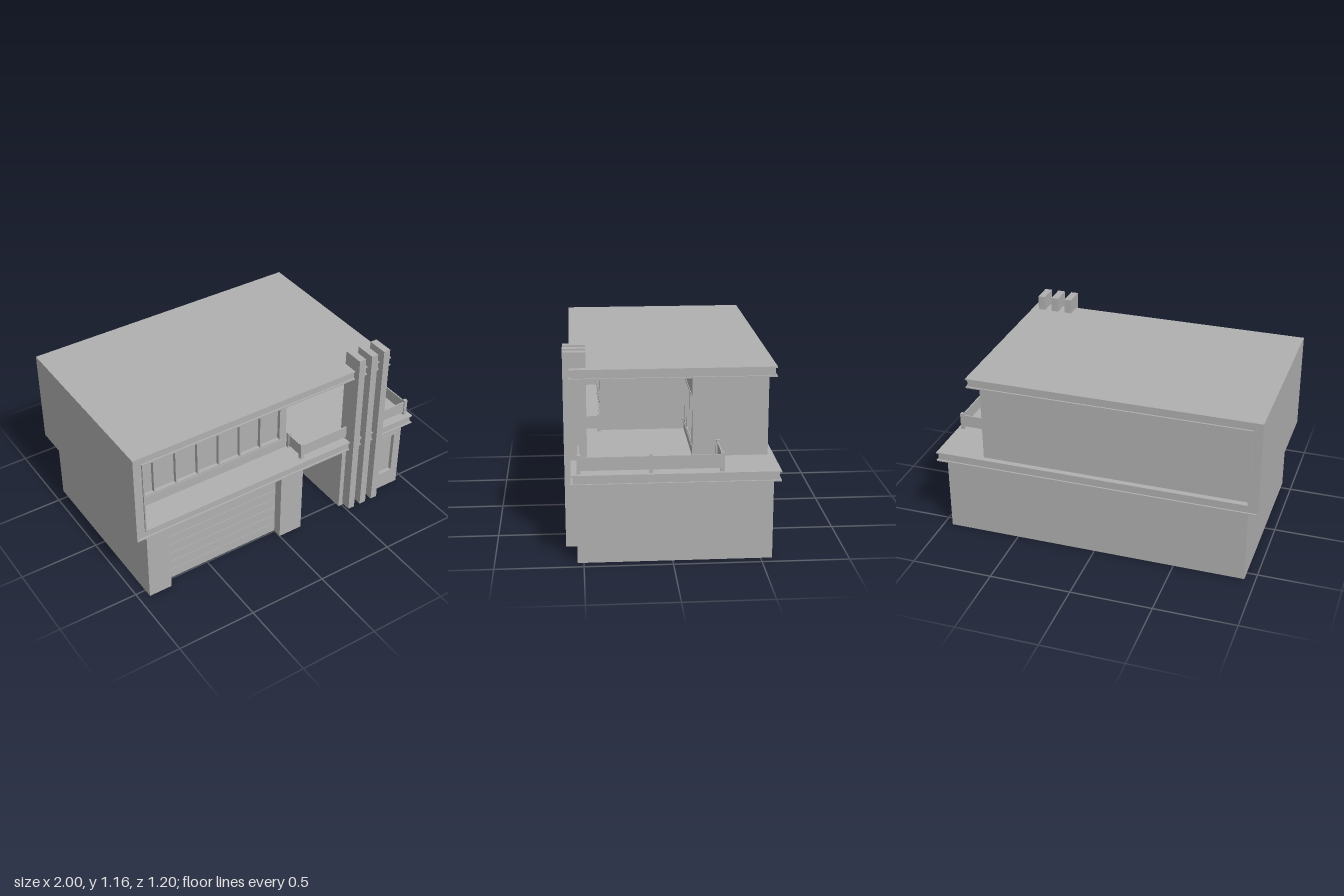
import * as THREE from 'three';

const concrete = new THREE.MeshStandardMaterial({ color: 0xb0b0b0 });
concrete.name = 'light grey';

export function createModel() {
  const house = new THREE.Group();
  house.name = 'house';

  const group = (name) => {
    const g = new THREE.Group();
    g.name = name;
    house.add(g);
    return g;
  };
  // Box given by its limits on each axis
  const box = (parent, name, x0, x1, y0, y1, z0, z1) => {
    const m = new THREE.Mesh(new THREE.BoxGeometry(x1 - x0, y1 - y0, z1 - z0), concrete);
    m.position.set((x0 + x1) / 2, (y0 + y1) / 2, (z0 + z1) / 2);
    m.name = name;
    parent.add(m);
  };
  // Storey extruded upward from a floor plan of [x, z] corners
  const storey = (name, plan, y0, y1) => {
    const shape = new THREE.Shape(plan.map(([x, z]) => new THREE.Vector2(x, -z)));
    const geo = new THREE.ExtrudeGeometry(shape, { depth: y1 - y0, bevelEnabled: false });
    geo.rotateX(-Math.PI / 2).translate(0, y0, 0);
    const m = new THREE.Mesh(geo, concrete);
    m.name = name;
    house.add(m);
  };
  // Wall skin facing +z with one rectangular opening
  const skin = (name, [x0, x1, y0, y1], [a0, a1, b0, b1], z0, z1) => {
    const rect = (P, l, r, b, t) => {
      const p = new P();
      p.moveTo(l, b); p.lineTo(r, b); p.lineTo(r, t); p.lineTo(l, t); p.closePath();
      return p;
    };
    const shape = rect(THREE.Shape, x0, x1, y0, y1);
    shape.holes.push(rect(THREE.Path, a0, a1, b0, b1));
    const geo = new THREE.ExtrudeGeometry(shape, { depth: z1 - z0, bevelEnabled: false });
    geo.translate(0, 0, z0);
    const m = new THREE.Mesh(geo, concrete);
    m.name = name;
    house.add(m);
  };
  // Window or door frame: four rails and any upright bars
  const frame = (name, x0, x1, y0, y1, z0, z1, w, bars = []) => {
    const g = group(name);
    box(g, 'bottomRail', x0, x1, y0, y0 + w, z0, z1);
    box(g, 'topRail', x0, x1, y1 - w, y1, z0, z1);
    for (const x of [x0 + w / 2, ...bars, x1 - w / 2]) {
      box(g, 'upright', x - w / 2, x + w / 2, y0 + w, y1 - w, z0, z1);
    }
    return g;
  };

  // Ground floor, with garage recess and deep entrance
  storey('groundFloor', [
    [-0.935, -0.565], [-0.935, 0.555], [-0.785, 0.555], [-0.785, 0.49], [0, 0.49], [0, 0.555],
    [0.16, 0.555], [0.16, 0.13], [0.475, 0.13], [0.475, 0.515], [0.945, 0.515], [0.945, -0.565],
  ], 0, 0.478);
  // Upper floor, stepped back behind the balcony
  storey('upperFloor', [
    [-0.937, -0.565], [-0.937, 0.36], [0.15, 0.36], [0.15, -0.15], [0.70, -0.15], [0.70, -0.565],
  ], 0.533, 1.012);

  // Front wall skins and their windows
  skin('upperLeftWall', [-0.937, 0.15, 0.533, 1.012], [-0.91, 0.11, 0.605, 0.89], 0.36, 0.38);
  skin('upperRightWall', [0.15, 0.70, 0.533, 1.012], [0.18, 0.685, 0.605, 0.89], -0.15, -0.13);
  skin('lowerRightWall', [0.475, 0.945, 0, 0.478], [0.775, 0.9, 0.11, 0.425], 0.515, 0.535);
  frame('upperLeftWindow', -0.91, 0.11, 0.605, 0.89, 0.359, 0.384, 0.01,
    [0, 1, 2, 3, 4, 5].map((i) => -0.773 + i * 0.147));
  frame('upperRightWindow', 0.18, 0.685, 0.605, 0.89, -0.151, -0.126, 0.01,
    [0.275, 0.375, 0.475, 0.575]);
  frame('lowerRightWindow', 0.775, 0.9, 0.11, 0.425, 0.514, 0.539, 0.012);
  box(house, 'leftSill', -0.91, 0.12, 0.597, 0.606, 0.378, 0.388);
  box(house, 'rightSill', 0.175, 0.69, 0.597, 0.606, -0.132, -0.122);

  // Garage door slats
  const garage = group('garageDoor');
  for (let i = 0; i < 7; i++) {
    const y = 0.003 + i * 0.0675;
    box(garage, 'slat', -0.785, 0, y, y + 0.064, 0.488, 0.496);
  }

  // Entrance door with side lights and top light
  for (const [name, x0, x1] of [['leftSideLight', 0.175, 0.225], ['rightSideLight', 0.412, 0.46]]) {
    frame(name, x0, x1, 0.015, 0.415, 0.129, 0.138, 0.005);
  }
  const door = frame('door', 0.228, 0.408, 0.015, 0.415, 0.129, 0.138, 0.005);
  box(door, 'doorLeaf', 0.236, 0.4, 0.015, 0.36, 0.129, 0.136);
  box(door, 'transom', 0.233, 0.403, 0.362, 0.372, 0.129, 0.138);

  // Wrap-around frame of roof, left wall and floor slab, with a channel along its edge
  const wrap = group('wrapFrame');
  const Z0 = -0.6, Z1 = 0.565, t = 0.008, d = 0.01;
  box(wrap, 'roofCore', -0.995, 0.763, 1.015, 1.065, Z0 + d, Z1 - d);
  box(wrap, 'slabCore', -0.995, 0.99, 0.48, 0.53, Z0 + d, Z1 - d);
  box(wrap, 'leftWallCore', -0.995, -0.94, 0.5, 1.04, Z0 + d, Z1 - d);
  box(wrap, 'roofTop', -1, 0.773, 1.072 - t, 1.072, Z0, Z1);
  box(wrap, 'roofSoffit', -0.935 - t, 0.773, 1.012, 1.012 + t, Z0, Z1);
  box(wrap, 'balconyFloor', -0.935 - t, 1, 0.535 - t, 0.535, Z0, Z1);
  box(wrap, 'slabSoffit', -1, 1, 0.475, 0.475 + t, Z0, Z1);
  box(wrap, 'leftOuterSkin', -1, -1 + t, 0.475 + t, 1.072 - t, Z0, Z1);
  box(wrap, 'leftInnerSkin', -0.935 - t, -0.935, 0.535, 1.012, Z0, Z1);

  // Three tall fins
  for (let i = 0; i < 3; i++) {
    const x = 0.505 + i * 0.09;
    box(house, 'fin', x, x + 0.045, 0.012, 1.162, 0.47, 0.6);
  }

  // Balcony railing: posts and thin panels
  const railing = group('railing');
  const p = 0.011, h = 0.004;
  for (const [x, z] of [[0.167, 0.39], [0.167, 0.52], [0.967, 0.52], [0.967, 0.123],
    [0.967, -0.273], [0.735, -0.273]]) {
    box(railing, 'post', x - p, x + p, 0.535, 0.643, z - p, z + p);
  }
  for (const [x0, x1, z0, z1] of [[0.167, 0.167, 0.39, 0.52], [0.167, 0.507, 0.52, 0.52],
    [0.728, 0.967, 0.52, 0.52], [0.967, 0.967, -0.273, 0.52], [0.70, 0.967, -0.273, -0.273]]) {
    box(railing, 'panel', x0 - h, x1 + h, 0.553, 0.63, z0 - h, z1 + h);
  }

  return house;
}
